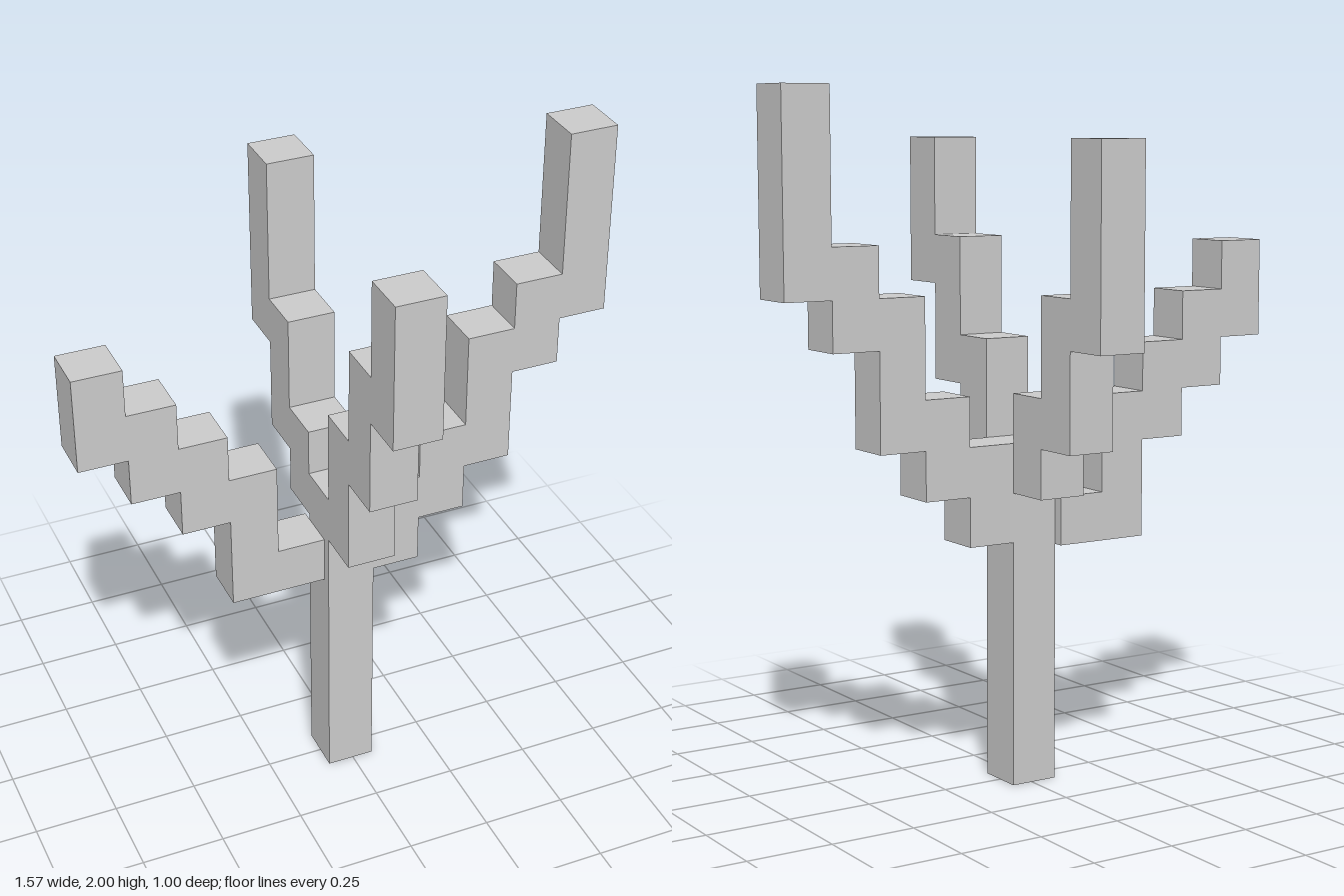
import * as THREE from 'three';

const U = 1 / 7;        // side of one block
const CX = -0.008;      // trunk axis in x

const material = new THREE.MeshStandardMaterial({ color: 0xcccccc, flatShading: true });

// Square post standing at (x, z), from y0 up to y1
function post(name, x, z, y0, y1) {
  const mesh = new THREE.Mesh(new THREE.BoxGeometry(U, y1 - y0, U), material);
  mesh.position.set(x, (y0 + y1) / 2, z);
  mesh.name = name;
  return mesh;
}

// Branch stepping outward one block per post; spans are [bottom, top] in blocks
function branch(name, dx, dz, spans, offset = [0, 0, 0]) {
  const group = new THREE.Group();
  group.name = name;
  spans.forEach(([b, t], i) => {
    const d = (i + 1) * U;
    group.add(post(name + 'Step' + (i + 1), dx * d, dz * d, b * U, t * U));
  });
  group.position.set(CX + offset[0], offset[1], offset[2]);
  return group;
}

export function createModel() {
  const tree = new THREE.Group();
  tree.name = 'blockTree';

  // Trunk
  tree.add(post('trunk', CX, 0, 0, 7 * U));

  // Four stepped branches
  tree.add(branch('leftBranch', 1, 0, [[5, 7], [6, 8], [7, 10], [9, 11], [10, 14]]));
  tree.add(branch('frontBranch', 0, 1, [[6, 9], [8, 11], [10, 13]]));
  tree.add(branch('backBranch', 0, -1, [[6, 8], [7, 10], [9, 13]]));

  // The right branch sits slightly lower and further back
  tree.add(branch('rightBranch', -1, 0, [[5, 6], [5, 8], [7, 9], [8, 10], [9, 11]], [0, -0.018, -0.03]));

  return tree;
}
